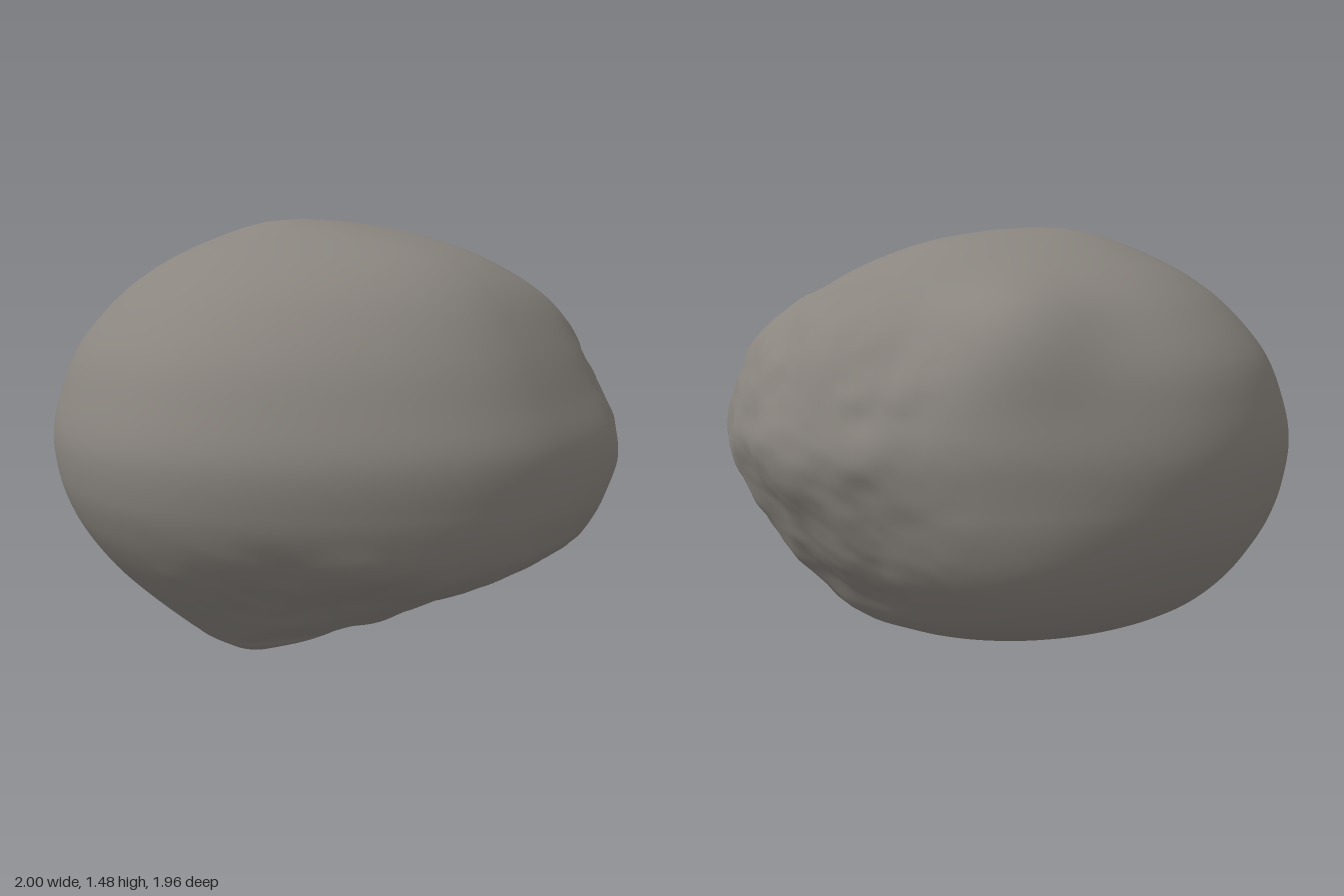
import * as THREE from 'three';
import { mergeVertices } from 'three/addons/utils/BufferGeometryUtils.js';

// Level sections from top to bottom: [y, right-hand x, left-hand x, front z, back z]
const SECTIONS = [
  [1.48, -0.08, -0.08, -0.06, -0.06],
  [1.467, -0.22, 0.12, 0.08, -0.21],
  [1.43, -0.34, 0.32, 0.29, -0.35],
  [1.37, -0.50, 0.47, 0.50, -0.49],
  [1.30, -0.63, 0.61, 0.64, -0.62],
  [1.20, -0.76, 0.80, 0.75, -0.75],
  [1.05, -0.89, 0.93, 0.85, -0.88],
  [0.90, -0.96, 0.985, 0.92, -0.945],
  [0.75, -1.0, 1.0, 0.975, -0.975],
  [0.60, -0.985, 0.945, 0.975, -0.96],
  [0.48, -0.94, 0.88, 0.945, -0.92],
  [0.38, -0.88, 0.82, 0.88, -0.86],
  [0.28, -0.80, 0.74, 0.71, -0.78],
  [0.19, -0.71, 0.66, 0.54, -0.67],
  [0.115, -0.63, 0.51, 0.37, -0.53],
  [0.07, -0.58, 0.18, 0.25, -0.42],
  [0.045, -0.55, -0.02, 0.2, -0.33],
  [0.02, -0.50, -0.28, 0.13, -0.06],
  [0.0, -0.42, -0.42, 0.06, 0.06],
];

const smooth = THREE.MathUtils.smoothstep;

// Seeded lattice noise in the range -1..1
function hash(x, y, z) {
  let h = Math.imul(x, 374761393) ^ Math.imul(y, 668265263) ^ Math.imul(z, 1274126177);
  h = Math.imul(h ^ (h >>> 13), 1103515245);
  return ((h ^ (h >>> 16)) >>> 0) / 2147483648 - 1;
}

function noise(x, y, z) {
  const [i, j, k] = [x, y, z].map(Math.floor);
  const [u, v, w] = [x - i, y - j, z - k].map((f) => f * f * (3 - 2 * f));
  const mix = THREE.MathUtils.lerp;
  const edge = (b, c) => mix(hash(i, j + b, k + c), hash(i + 1, j + b, k + c), u);
  return mix(mix(edge(0, 0), edge(1, 0), v), mix(edge(0, 1), edge(1, 1), v), w);
}

// Weathered surface: smooth on the right and back, chipped on the left and under the front
function roughness(p) {
  const side = smooth(p.x + 0.25 * p.z, 0.45, 0.85);
  const under = smooth(0.55 - p.y, 0, 0.2) * smooth(p.z, -0.1, 0.4);
  const mask = Math.max(side, 0.8 * under);
  const n = noise(p.x * 4, p.y * 4, p.z * 4) * 0.016
    + noise(p.x * 9 + 5, p.y * 9, p.z * 9) * 0.011
    + noise(p.x * 19, p.y * 19 + 3, p.z * 19) * 0.004;
  return mask * n;
}

// Soft bump of height 1 around a point
function bump(p, x, y, z, spread) {
  return Math.exp(-((p.x - x) ** 2 + (p.y - y) ** 2 + (p.z - z) ** 2) / spread);
}

// Fullness of the corner between two axes, relative to an ellipse
function cornerFullness(c, s, y) {
  const low = smooth(0.75 - y, 0, 0.5);
  if (c > 0 && s < 0) return -0.04 + 0.1 * low;
  if (c < 0 && s > 0) return -0.045;
  return c > 0 ? 0.02 : 0;
}

function rockGeometry() {
  const curve = (a, b) => new THREE.CatmullRomCurve3(
    SECTIONS.map((row) => new THREE.Vector3(row[a], row[0], row[b])), false, 'catmullrom', 0.5);
  const xCurve = curve(1, 2), zCurve = curve(4, 3);
  const rows = 144, columns = 160;
  const geometry = new THREE.SphereGeometry(1, columns, rows);
  const position = geometry.attributes.position;
  const p = new THREE.Vector3(), out = new THREE.Vector3();

  for (let i = 0; i < position.count; i++) {
    const t = Math.floor(i / (columns + 1)) / rows;
    const xs = xCurve.getPoint(t), zs = zCurve.getPoint(t);
    const angle = Math.atan2(position.getZ(i), position.getX(i));
    const c = Math.cos(angle), s = Math.sin(angle);

    // Each level is four quarter ellipses around a drifting centre
    const drift = Math.abs(2 * t - 1);
    const cx = THREE.MathUtils.lerp(-0.08, -0.42, t ** 4) * drift;
    const cz = THREE.MathUtils.lerp(-0.06, 0.06, t) * drift;
    const corner = 1 + Math.sin(2 * angle) ** 2 * cornerFullness(c, s, xs.y);
    p.set(
      cx + c * corner * (c > 0 ? xs.z - cx : cx - xs.x),
      xs.y,
      cz + s * corner * (s > 0 ? zs.z - cz : cz - zs.x));

    // Raised shoulder at the upper back left, a hollow beside it, a fuller front left
    const relief = 0.075 * bump(p, 0.5, 1.17, -0.6, 0.05)
      - 0.03 * bump(p, 0.75, 1.08, -0.38, 0.04)
      + 0.03 * bump(p, 0.4, 0.65, 0.88, 0.06);
    out.set(p.x, p.y - 0.75, p.z).normalize();
    p.addScaledVector(out, relief + roughness(p));
    position.setXYZ(i, p.x, p.y, p.z);
  }

  // Weld the seam so the shading is continuous
  geometry.deleteAttribute('uv');
  geometry.deleteAttribute('normal');
  const welded = mergeVertices(geometry, 1e-5);
  welded.computeVertexNormals();
  return welded;
}

export function createModel() {
  const group = new THREE.Group();
  group.name = 'boulder';
  const stone = new THREE.MeshStandardMaterial({ color: 0x8a857f });
  stone.name = 'warm grey stone';
  const rock = new THREE.Mesh(rockGeometry(), stone);
  rock.name = 'rock';
  group.add(rock);
  return group;
}
